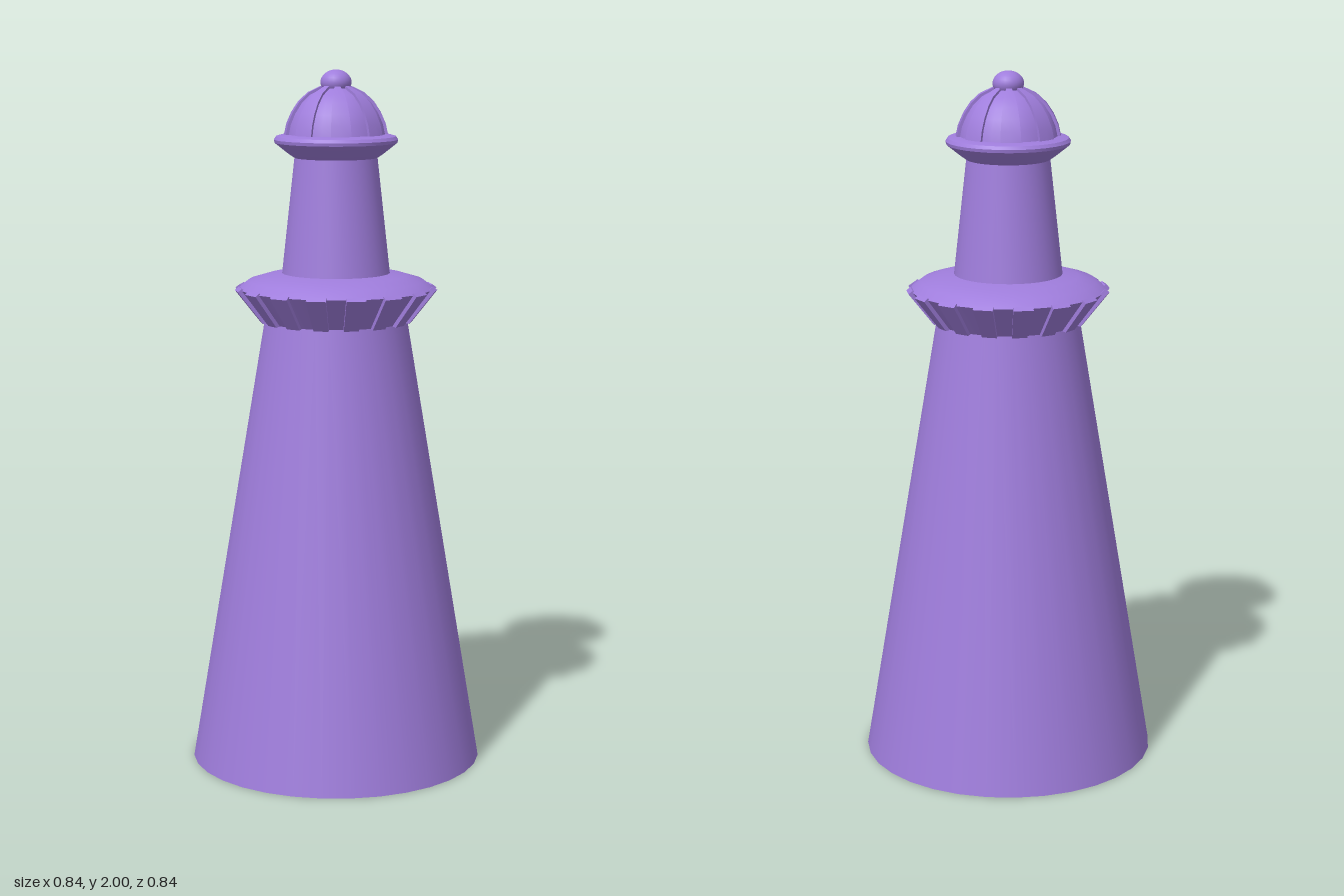
import * as THREE from 'three';
import { toCreasedNormals, mergeGeometries } from 'three/addons/utils/BufferGeometryUtils.js';

const SIDES = 32;
const STEP = (Math.PI * 2) / SIDES;
const CREASE = 0.45;

export function createModel() {
  const model = new THREE.Group();
  const material = new THREE.MeshStandardMaterial({ color: 0x9f7ddc, side: THREE.DoubleSide });
  const vectors = (pts) => pts.map(([r, y]) => new THREE.Vector2(r, y));

  const add = (name, geometry, parent = model) => {
    const mesh = new THREE.Mesh(geometry, material);
    mesh.name = name;
    parent.add(mesh);
    return mesh;
  };

  // Full turned body from a bottom-to-top profile
  const turned = (name, pts) =>
    add(name, toCreasedNormals(new THREE.LatheGeometry(vectors(pts), SIDES), CREASE));

  // Solid wedge: a closed profile swept through part of a turn, with end caps
  const wedge = (pts, start, steps) => {
    const profile = vectors(pts);
    const sweep = new THREE.LatheGeometry([...profile, profile[0]], steps, start, steps * STEP);
    const caps = [start, start + steps * STEP].map((angle) =>
      new THREE.ShapeGeometry(new THREE.Shape(profile)).rotateY(angle - Math.PI / 2));
    return toCreasedNormals(mergeGeometries([sweep, ...caps]), CREASE);
  };

  // Tapered tower, open underneath
  turned('tower', [[0.42, 0], [0.205, 1.29]]);

  // Flared gallery with a gently sloping deck
  turned('gallery', [[0.205, 1.29], [0.278, 1.383], [0.25, 1.405], [0.2, 1.42], [0.153, 1.427]]);

  // Raised panels around the flare
  const panels = new THREE.Group();
  panels.name = 'galleryPanels';
  model.add(panels);
  const panelProfile = [[0.2, 1.29], [0.217, 1.287], [0.29, 1.38], [0.278, 1.389], [0.27, 1.385]];
  for (let i = 0; i < SIDES; i += 2) {
    add('galleryPanel', wedge(panelProfile, i * STEP, 1), panels);
  }

  // Lantern room
  turned('lanternRoom', [[0.155, 1.42], [0.118, 1.755]]);

  // Overhanging rim under the dome
  turned('domeRim', [[0.113, 1.75], [0.135, 1.765], [0.174, 1.796], [0.176, 1.805],
    [0.17, 1.814], [0.148, 1.82], [0.12, 1.82]]);

  // Dome with alternating raised sectors
  const arc = [[0.148, 1.818], [0.141, 1.85], [0.127, 1.882], [0.107, 1.912], [0.08, 1.937], [0.04, 1.956]];
  const inner = arc.map(([r, y]) => [r * 0.94, 1.82 + (y - 1.82) * 0.95]);
  turned('dome', [...inner, [0, 1.957]]);
  const ribs = new THREE.Group();
  ribs.name = 'domeRibs';
  model.add(ribs);
  const ribProfile = [...arc, ...inner.slice().reverse()];
  for (let i = 0; i < 8; i++) {
    add('domeRib', wedge(ribProfile, (i * 4 - 1) * STEP, 2), ribs);
  }

  // Finial ball
  const ball = add('finial', new THREE.SphereGeometry(0.044, 24, 16));
  ball.scale.y = 0.8;
  ball.position.y = 1.965;

  return model;
}
